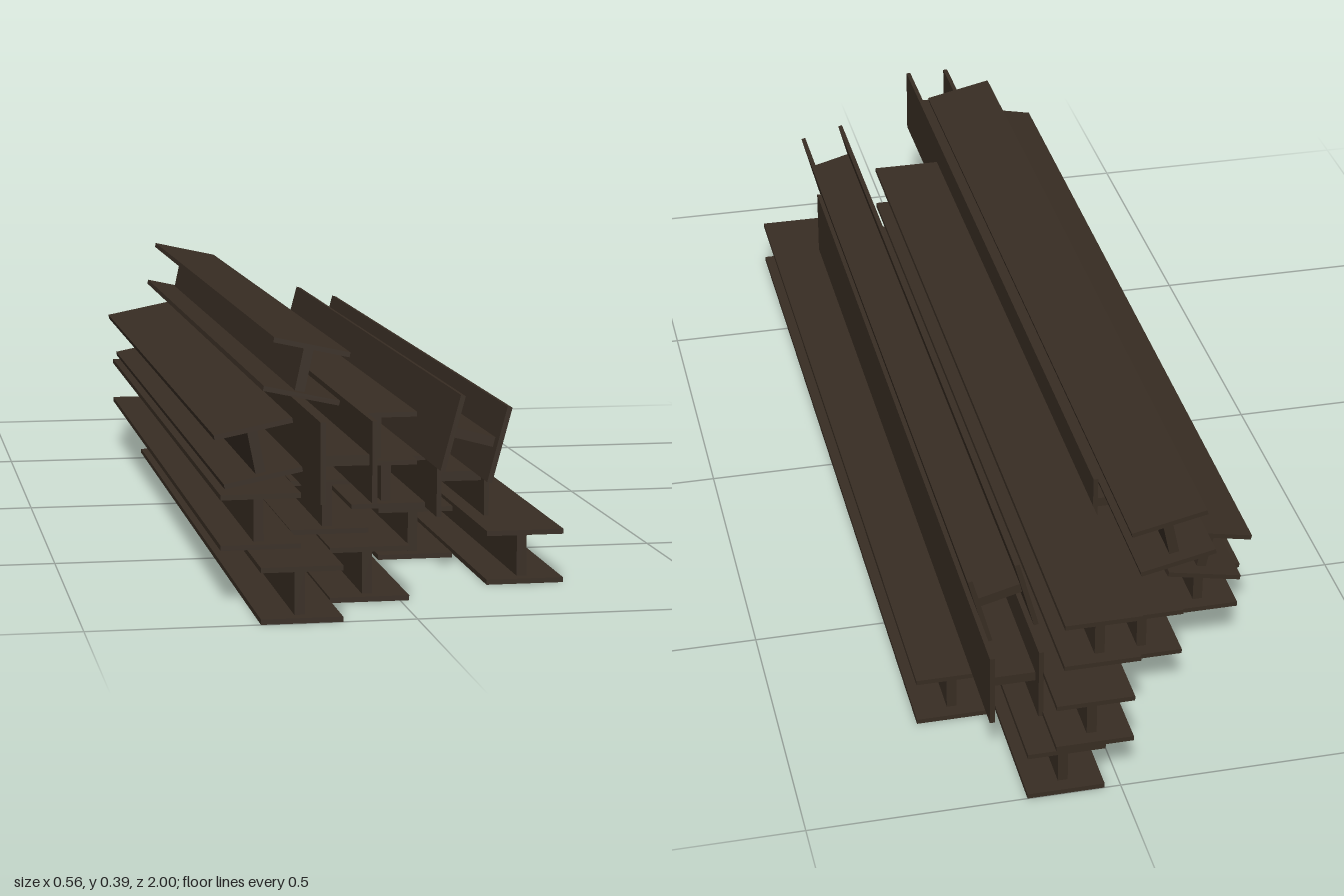
import * as THREE from 'three';

const LENGTH = 1.56, WIDTH = 0.124, HEIGHT = 0.086;
const FLANGE = 0.008, WEB = 0.016, WEB_INSET = 0.023;

// One I-beam along z: two flanges and a slightly shorter web
function makeBeam(material) {
  const beam = new THREE.Group();
  const flangeGeometry = new THREE.BoxGeometry(WIDTH, FLANGE, LENGTH);
  for (const side of [1, -1]) {
    const flange = new THREE.Mesh(flangeGeometry, material);
    flange.name = side > 0 ? 'topFlange' : 'bottomFlange';
    flange.position.y = side * (HEIGHT - FLANGE) / 2;
    beam.add(flange);
  }
  const web = new THREE.Mesh(
    new THREE.BoxGeometry(WEB, HEIGHT - 2 * FLANGE, LENGTH - 2 * WEB_INSET), material);
  web.name = 'web';
  beam.add(web);
  return beam;
}

export function createModel() {
  const model = new THREE.Group();
  model.name = 'beamStack';
  const steel = new THREE.MeshStandardMaterial({ color: 0x382d23 });
  steel.name = 'rustedSteel';

  // Each beam: x, y, front end z, roll in degrees
  const layers = {
    bottomBeam: [
      [-0.175, 0.044, 1.0, 0], [-0.048, 0.044, 0.87, 0],
      [0.088, 0.044, 0.56, 0], [0.219, 0.044, 0.78, 0],
    ],
    middleBeam: [
      [-0.216, 0.130, 0.865, 0], [-0.091, 0.130, 0.76, 0],
      [0.043, 0.130, 0.56, 0], [0.147, 0.149, 0.65, 90],
    ],
    upperBeam: [
      [-0.2125, 0.228, 0.82, 11.3], [-0.100, 0.236, 0.975, 90],
      [0.010, 0.216, 0.645, 0], [0.143, 0.231, 0.762, 75],
    ],
    topBeam: [[-0.1195, 0.338, 0.715, -12.3]],
  };

  for (const [name, beams] of Object.entries(layers)) {
    beams.forEach(([x, y, front, roll], i) => {
      const beam = makeBeam(steel);
      beam.name = name + (i + 1);
      beam.position.set(x, y, front - LENGTH / 2);
      beam.rotation.z = THREE.MathUtils.degToRad(roll);
      model.add(beam);
    });
  }
  return model;
}
